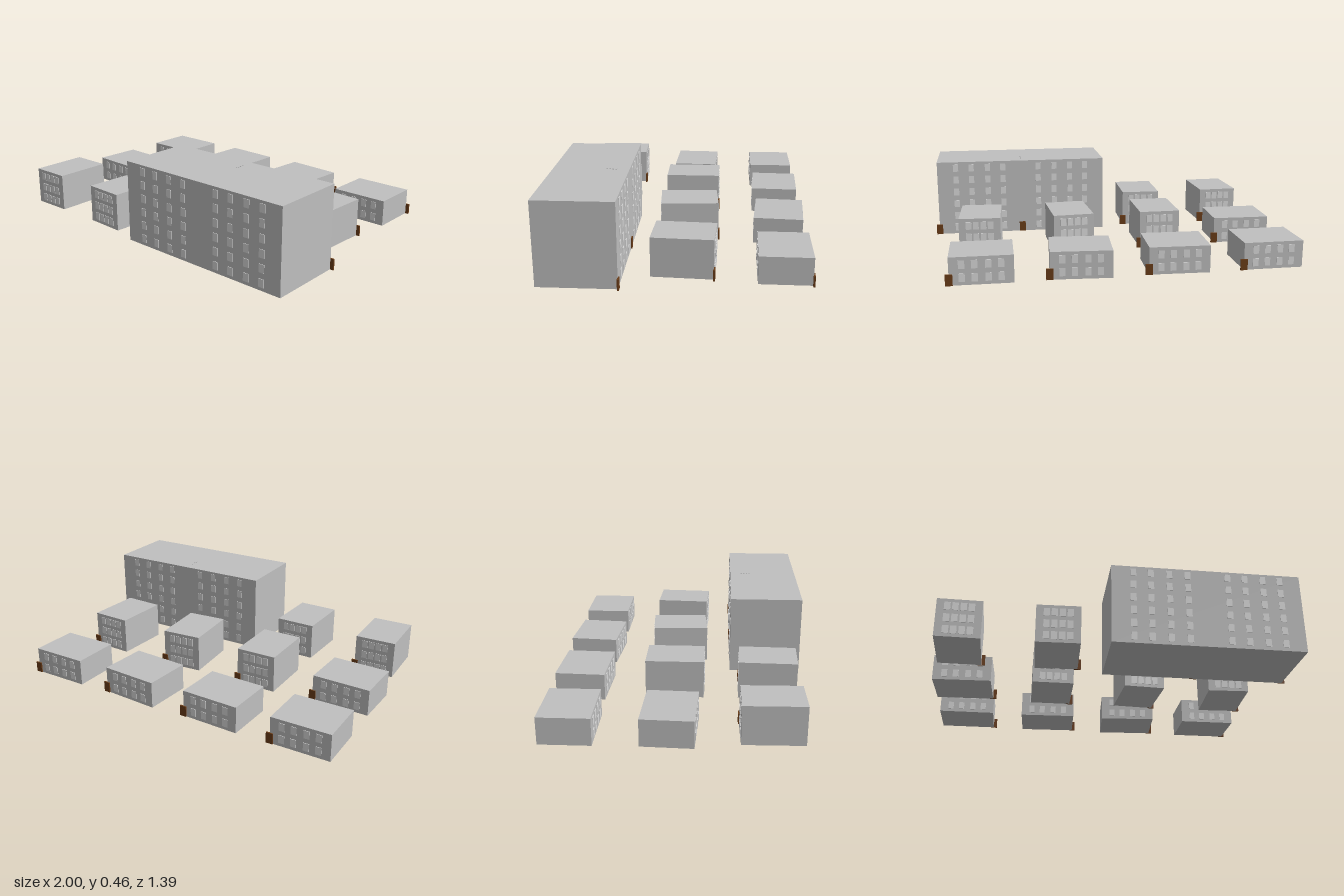
import * as THREE from 'three';

const wallMat = new THREE.MeshStandardMaterial({ color: 0xc0c0c0 });
wallMat.name = 'concrete wall';
const windowMat = new THREE.MeshStandardMaterial({ color: 0xdcdcdc });
windowMat.name = 'pale window';
const doorMat = new THREE.MeshStandardMaterial({ color: 0x6b3d18 });
doorMat.name = 'brown door';

// Block types: size, window columns, floor heights and door positions
const TYPES = {
  lowHouse: { w: 0.33, d: 0.275, h: 0.15, cols: [-0.1, -0.035, 0.035, 0.1], rows: [0.04, 0.11], doors: [0.165] },
  tallHouse: { w: 0.235, d: 0.325, h: 0.215, cols: [-0.062, -0.021, 0.021, 0.062], rows: [0.04, 0.107, 0.174], doors: [0.117] },
  apartmentBlock: {
    w: 1.036, d: 0.416, h: 0.455,
    cols: [-0.4, -0.305, -0.205, -0.105, 0.115, 0.21, 0.31, 0.405],
    rows: [0.04, 0.116, 0.192, 0.268, 0.344, 0.418], doors: [0.518, 0]
  }
};

// Type, x, z, turn about y
const PLAN = [
  ['lowHouse', -0.835, -0.55, 0],
  ['lowHouse', -0.32, -0.553, -0.04],
  ['lowHouse', 0.2, -0.553, -0.07],
  ['lowHouse', 0.72, -0.553, -0.01],
  ['lowHouse', -0.835, -0.037, -0.035],
  ['tallHouse', -0.32, -0.037, 0],
  ['tallHouse', 0.2, -0.037, 0.07],
  ['tallHouse', 0.72, -0.037, -0.05],
  ['tallHouse', -0.835, 0.483, 0.02],
  ['tallHouse', -0.32, 0.483, -0.03],
  ['apartmentBlock', 0.462, 0.482, 0]
];

function box(parent, name, mat, w, h, d, x, y, z) {
  const mesh = new THREE.Mesh(new THREE.BoxGeometry(w, h, d), mat);
  mesh.name = name;
  mesh.position.set(x, y, z);
  parent.add(mesh);
  return mesh;
}

function building(name) {
  const { w, d, h, cols, rows, doors } = TYPES[name];
  const g = new THREE.Group();
  g.name = name;
  box(g, 'walls', wallMat, w, h, d, 0, h / 2, 0);
  // Window grids on the front and back
  for (const side of [1, -1])
    for (const x of cols)
      for (const y of rows)
        box(g, 'window', windowMat, 0.032, 0.044, 0.006, x, y, side * d / 2);
  // Doors on the back; the first overhangs the corner
  for (const x of doors) box(g, 'door', doorMat, 0.038, 0.06, 0.009, x, 0.03, -d / 2 - 0.002);
  return g;
}

export function createModel() {
  const model = new THREE.Group();
  model.name = 'housingEstate';
  for (const [type, x, z, turn] of PLAN) {
    const b = building(type);
    b.position.set(x, 0, z);
    b.rotation.y = turn;
    model.add(b);
  }
  // Small vents in a line on the large roof
  for (let i = 0; i < 4; i++) box(model, 'roofVent', wallMat, 0.004, 0.004, 0.008, 0.462, 0.456, 0.345 + i * 0.017);
  return model;
}
